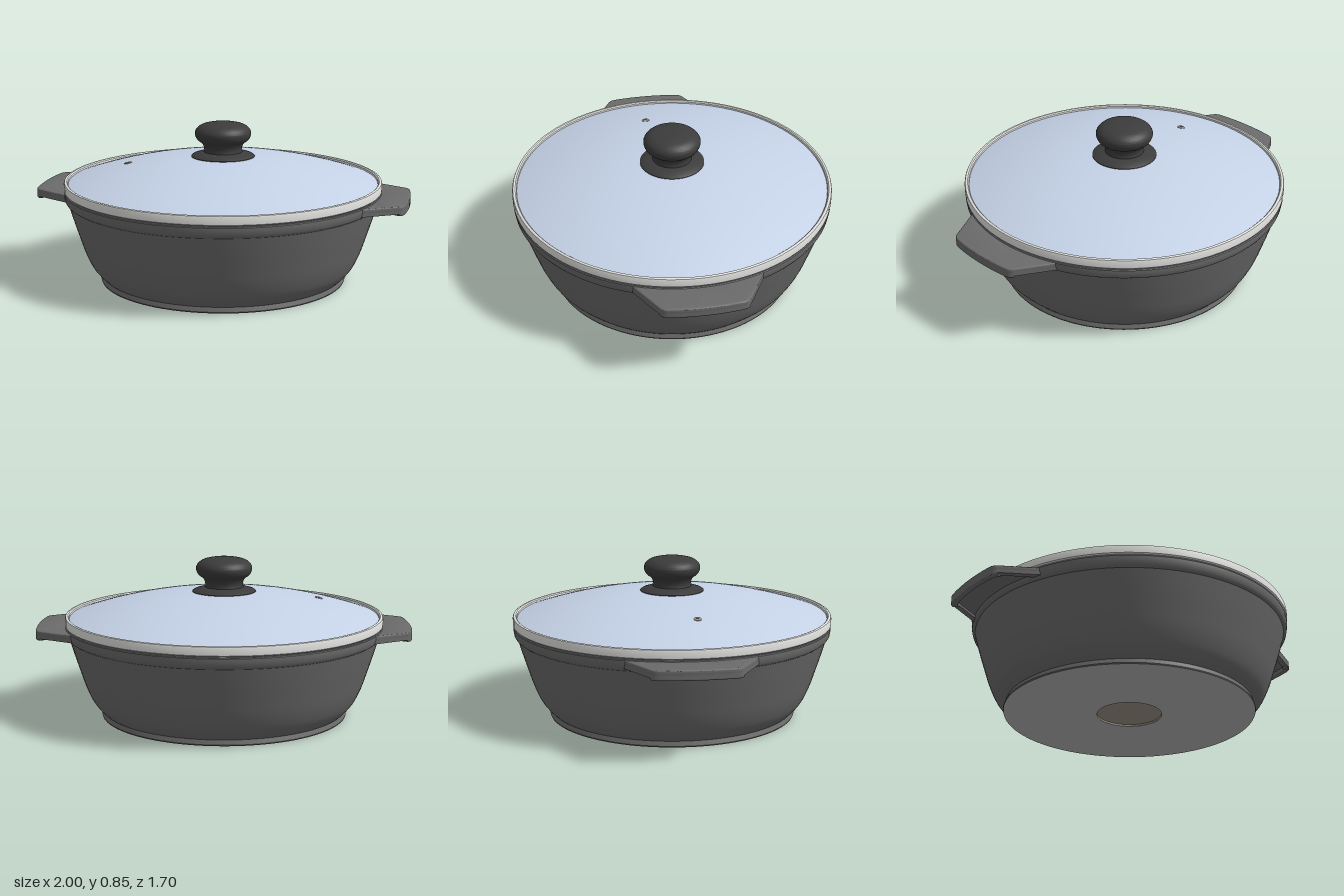
import * as THREE from 'three';
import { toCreasedNormals } from 'three/addons/utils/BufferGeometryUtils.js';

const mat = (name, color, side = THREE.FrontSide) => {
  const m = new THREE.MeshStandardMaterial({ color, side });
  m.name = name;
  return m;
};

export function createModel() {
  const body = mat('darkGreyCoating', 0x6b6b6c);
  const black = mat('blackPlastic', 0x3c3c3c);
  const glass = mat('blueGlass', 0xc6d3e8, THREE.DoubleSide);
  const steel = mat('brightSteel', 0xe0e0de);
  const baseSteel = mat('baseSteel', 0xb2b2b2);
  const bronze = mat('warmMetal', 0x9a9083);

  const model = new THREE.Group();
  model.name = 'lidded casserole';

  const add = (name, geo, material, parent = model) => {
    const mesh = new THREE.Mesh(geo, material);
    mesh.name = name;
    parent.add(mesh);
    return mesh;
  };
  // Turned part from [radius, height] pairs, outer side running upwards
  const turn = (name, pts, material, segments = 96, parent = model) => {
    const geo = new THREE.LatheGeometry(pts.map(([r, y]) => new THREE.Vector2(r, y)), segments);
    return add(name, toCreasedNormals(geo, 0.6), material, parent);
  };
  // Smooth profile through a few [radius, height] pairs
  const smooth = (pts, n) => new THREE.SplineCurve(pts.map(([r, y]) => new THREE.Vector2(r, y)))
    .getPoints(n).map((p) => [Math.max(0, p.x), p.y]);

  // Pot: foot, rounded wall, rim band, hollow inside
  turn('pot', [
    [0.66, 0], [0.662, 0.006], [0.654, 0.03],
    ...smooth([[0.66, 0.034], [0.688, 0.064], [0.715, 0.102], [0.746, 0.17], [0.776, 0.26],
      [0.803, 0.345], [0.828, 0.43]], 28),
    [0.838, 0.437], [0.844, 0.447], [0.848, 0.47], [0.848, 0.486], [0.844, 0.49], [0.8, 0.49],
    [0.79, 0.43], [0.75, 0.3], [0.7, 0.18], [0.63, 0.07], [0.58, 0.04], [0, 0.04],
  ], body);
  // Underside: steel plate with a recessed disc
  turn('basePlate', [[0.17, 0], [0.66, 0]], baseSteel);
  turn('baseDisc', [[0, 0.01], [0.17, 0.01], [0.17, 0]], bronze, 48);

  // Lid: steel band and glass dome
  turn('lidBand', [
    [0.8, 0.495], [0.844, 0.495], [0.85, 0.501], [0.85, 0.536], [0.847, 0.543],
    [0.841, 0.546], [0.834, 0.545], [0.828, 0.539], [0.825, 0.52],
  ], steel);
  const domeY = (r) => 0.67 - 0.205 * r * r;
  const dome = [];
  for (let i = 0; i <= 24; i++) {
    const r = 0.828 * (1 - i / 24);
    dome.push([r, domeY(r)]);
  }
  turn('glassDome', dome, glass);

  // Steam vent: small eyelet set in the glass
  const vent = new THREE.Group();
  vent.name = 'steamVent';
  vent.position.set(-0.51, domeY(0.514), 0.065);
  vent.rotation.z = Math.atan(0.41 * 0.51);
  model.add(vent);
  turn('ventEyelet', [[0.021, -0.004], [0.021, 0.002], [0.018, 0.004], [0.008, 0.004], [0.008, 0]], bronze, 24, vent);
  turn('ventHole', [[0.008, 0.002], [0, 0.002]], black, 16, vent);

  // Knob: low flange, flared neck and rounded cap
  turn('knobFlange', [
    [0.17, 0.655], [0.17, 0.667], [0.16, 0.674], [0.13, 0.683], [0.1, 0.69], [0, 0.69],
  ], black, 64);
  turn('knob', [
    [0.106, 0.68], [0.1, 0.7], [0.102, 0.715], [0.108, 0.73],
    ...smooth([[0.115, 0.739], [0.138, 0.756], [0.15, 0.785], [0.143, 0.81], [0.118, 0.831],
      [0.08, 0.842], [0.04, 0.847], [0, 0.848]], 32),
  ], black, 64);

  // Handles: thin plate with a lip hanging from its outer edge
  const edge = (inset) => {
    const outer = [];
    const z = 0.222 - inset * 0.6;
    const x = 0.962 - inset;
    const side = 0.328 - inset * 1.2;
    const curve = new THREE.CurvePath();
    const v = (a, b) => new THREE.Vector2(a, b);
    curve.add(new THREE.LineCurve(v(0.775, -side), v(x, -z)));
    curve.add(new THREE.QuadraticBezierCurve(v(x, -z), v(x + 0.02, -z + 0.012), v(x + 0.025, -z + 0.04)));
    curve.add(new THREE.QuadraticBezierCurve(v(x + 0.025, -z + 0.04), v(x + 0.051, 0), v(x + 0.025, z - 0.04)));
    curve.add(new THREE.QuadraticBezierCurve(v(x + 0.025, z - 0.04), v(x + 0.02, z - 0.012), v(x, z)));
    curve.add(new THREE.LineCurve(v(x, z), v(0.775, side)));
    curve.curves.forEach((c) => outer.push(...c.getPoints(c.isLineCurve ? 1 : 8)));
    return outer.filter((p, i) => i === 0 || p.distanceTo(outer[i - 1]) > 1e-5);
  };
  // Extrude downwards from a given height, with softened edges
  const slab = (pts, top, depth, bevel) => {
    const geo = new THREE.ExtrudeGeometry(new THREE.Shape(pts), {
      depth: depth - 2 * bevel, bevelEnabled: bevel > 0, bevelThickness: bevel,
      bevelSize: bevel, bevelOffset: -bevel, bevelSegments: 3,
    });
    geo.rotateX(Math.PI / 2);
    geo.translate(0, top - bevel, 0);
    return toCreasedNormals(geo, 0.6);
  };
  // Inner end follows the pot so nothing pokes through
  const innerArc = [];
  for (let i = 0; i <= 10; i++) {
    const a = 0.38 - 0.076 * i;
    innerArc.push(new THREE.Vector2(0.815 * Math.cos(a), 0.815 * Math.sin(a)));
  }
  const outer = edge(0);
  const inner = edge(0.03);
  const plateGeo = slab([...outer, ...innerArc], 0.486, 0.028, 0.006);
  const lipGeo = slab([...outer, ...inner.slice().reverse()], 0.47, 0.025, 0);
  const endGeo = slab([...outer.slice(1, -1), ...inner.slice(1, -1).reverse()], 0.455, 0.02, 0.005);
  [['leftHandle', 0], ['rightHandle', Math.PI]].forEach(([name, turnY]) => {
    const handle = new THREE.Group();
    handle.name = name;
    handle.rotation.y = turnY;
    add('handlePlate', plateGeo, body, handle);
    add('handleLip', lipGeo, body, handle);
    add('handleEnd', endGeo, body, handle);
    model.add(handle);
  });

  return model;
}
